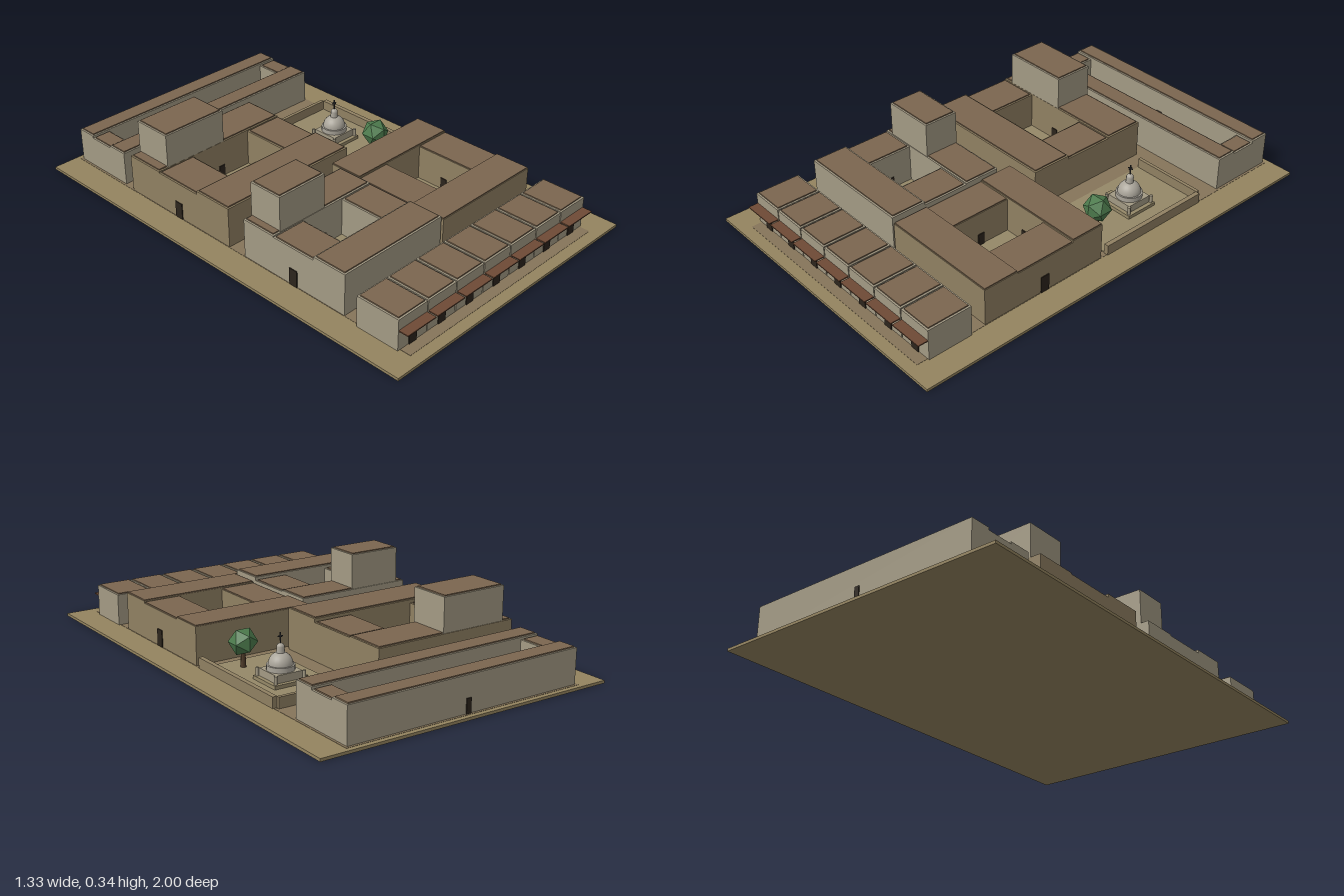
import * as THREE from 'three';

const mat = (color, flatShading = false) => new THREE.MeshStandardMaterial({ color, flatShading });
const M = {
  ground: mat(0x94845f), street: mat(0x86755a), court: mat(0x958868),
  pale: mat(0xa39a84), tan: mat(0x908062), roof: mat(0x7b664f),
  door: mat(0x2c241c), awning: mat(0x6e4a35), stone: mat(0xaaa59a),
  iron: mat(0x3a3a3a), leaf: mat(0x4c7a4c, true), bark: mat(0x4d3a28),
};
const G = 0.013; // ground level

function add(parent, name, geometry, material, x = 0, y = 0, z = 0) {
  const mesh = new THREE.Mesh(geometry, material);
  mesh.name = name;
  mesh.position.set(x, y, z);
  parent.add(mesh);
  return mesh;
}

// Box given by its limits on each axis
function span(parent, name, material, x0, x1, y0, y1, z0, z1) {
  return add(parent, name, new THREE.BoxGeometry(x1 - x0, y1 - y0, z1 - z0), material,
    (x0 + x1) / 2, (y0 + y1) / 2, (z0 + z1) / 2);
}

// Walled block with a slightly inset roof slab; h is the total height
function block(parent, name, wall, x0, x1, z0, z1, h, y0 = G, inset = 0.008) {
  span(parent, name + 'Walls', wall, x0, x1, y0, h - 0.005, z0, z1);
  span(parent, name + 'Roof', M.roof, x0 + inset, x1 - inset, h - 0.005, h, z0 + inset, z1 - inset);
}

// Thin door panel lying on a wall that faces the given axis
function door(parent, axis, x, z, w = 0.04, h = 0.073) {
  const d = 0.008;
  add(parent, 'door', new THREE.BoxGeometry(axis === 'x' ? d : w, h, axis === 'x' ? w : d),
    M.door, x, G + h / 2, z);
}

// Four wings around an open court
function courtHouse(parent, o) {
  const g = new THREE.Group();
  g.name = o.name;
  parent.add(g);
  const [x0, x1, z0, z1] = o.outer, [a, b, c, d] = o.court;
  const [hBack, hSide, hFront] = o.heights;
  block(g, 'backWing', o.wall, x0, x1, z0, c, hBack, G, o.inset);
  block(g, 'frontWing', o.wall, x0, x1, d, z1, hFront, G, o.inset);
  block(g, 'rightWing', o.wall, x0, a, c, d, hSide, G, o.inset);
  block(g, 'leftWing', o.wall, b, x1, c, d, hSide, G, o.inset);
  span(g, 'courtFloor', M.court, a, b, G - 0.002, G + 0.002, c, d);
  const cx = (a + b) / 2, cz = (c + d) / 2;
  for (const x of [a, b]) door(g, 'x', x, cz, 0.03, 0.055);
  for (const z of [c, d]) door(g, 'z', cx, z, 0.03, 0.055);
  if (o.tower) block(g, 'upperRoom', M.pale, ...o.tower, hBack - 0.005);
  return g;
}

function shops(parent) {
  const row = new THREE.Group();
  row.name = 'shopRow';
  parent.add(row);
  const pitch = 0.1595;
  for (let i = 0; i < 7; i++) {
    const x = -0.558 + i * pitch;
    block(row, 'shop', M.pale, x, x + pitch - 0.005, 0.703, 0.902, 0.154);
    door(row, 'z', x + pitch / 2 - 0.003, 0.902);
    span(row, 'awning', M.awning, x + 0.002, x + pitch - 0.007, 0.098, 0.103, 0.9, 0.945);
  }
}

function shrine(parent) {
  const s = new THREE.Group();
  s.name = 'shrine';
  s.position.set(0.365, 0, -0.305);
  parent.add(s);
  span(s, 'base', M.court, -0.077, 0.077, G, 0.03, -0.077, 0.077);
  span(s, 'hall', M.pale, -0.06, 0.06, 0.03, 0.062, -0.06, 0.06);
  for (const x of [-0.065, 0.065]) for (const z of [-0.065, 0.065])
    add(s, 'cornerPost', new THREE.CylinderGeometry(0.007, 0.007, 0.035, 8), M.pale, x, 0.046, z);
  // Steps toward the right-hand side of the yard
  for (let i = 0; i < 2; i++)
    span(s, 'step', M.court, -0.115 + i * 0.018, -0.077, G, G + 0.006 * (i + 1), -0.015, 0.015);
  add(s, 'drum', new THREE.CylinderGeometry(0.056, 0.056, 0.022, 24), M.stone, 0, 0.072, 0);
  add(s, 'dome', new THREE.SphereGeometry(0.049, 24, 10, 0, Math.PI * 2, 0, Math.PI / 2), M.stone, 0, 0.083, 0);
  add(s, 'lantern', new THREE.CylinderGeometry(0.015, 0.017, 0.022, 12), M.stone, 0, 0.14, 0);
  add(s, 'lanternCap', new THREE.SphereGeometry(0.016, 12, 6, 0, Math.PI * 2, 0, Math.PI / 2), M.stone, 0, 0.151, 0);
  span(s, 'finialPost', M.iron, -0.002, 0.002, 0.16, 0.21, -0.002, 0.002);
  span(s, 'finialBar', M.iron, -0.011, 0.011, 0.192, 0.196, -0.002, 0.002);
  span(s, 'finialCrossBar', M.iron, -0.002, 0.002, 0.192, 0.196, -0.009, 0.009);
}

function yard(parent) {
  const g = new THREE.Group();
  g.name = 'yard';
  parent.add(g);
  span(g, 'yardFloor', M.court, 0.2, 0.535, G - 0.002, G + 0.002, -0.54, 0);
  span(g, 'backWall', M.tan, 0.2, 0.532, G, 0.058, -0.55, -0.535);
  span(g, 'sideWall', M.tan, 0.53, 0.55, G, 0.058, -0.535, 0.003);
  shrine(g);
  add(g, 'treeTrunk', new THREE.CylinderGeometry(0.009, 0.012, 0.07, 8), M.bark, 0.398, 0.047, -0.085);
  add(g, 'treeCrown', new THREE.IcosahedronGeometry(0.06, 0), M.leaf, 0.398, 0.12, -0.085);
}

export function createModel() {
  const model = new THREE.Group();
  model.name = 'townBlock';
  span(model, 'ground', M.ground, -0.665, 0.665, 0, G - 0.001, -1, 1);
  span(model, 'street', M.street, -0.545, 0.545, G - 0.002, G, -0.98, 0.95);

  // Long hall at the back
  const hall = courtHouse(model, {
    name: 'backHall', wall: M.pale, outer: [-0.535, 0.535, -0.97, -0.665],
    court: [-0.447, 0.447, -0.88, -0.76], heights: [0.166, 0.156, 0.166],
  });
  door(hall, 'z', 0, -0.97, 0.022, 0.06);

  // House with the larger upper room
  const rear = courtHouse(model, {
    name: 'rearHouse', wall: M.tan, outer: [-0.543, 0.125, -0.605, 0.003],
    court: [-0.36, -0.055, -0.42, -0.185], heights: [0.185, 0.18, 0.195],
    tower: [-0.495, -0.19, -0.602, -0.421, 0.332],
  });
  door(rear, 'x', -0.543, -0.3);

  // Front house on the right
  const right = courtHouse(model, {
    name: 'rightHouse', wall: M.pale, outer: [-0.543, -0.008, 0.093, 0.63],
    court: [-0.383, -0.17, 0.257, 0.47], heights: [0.19, 0.185, 0.2],
    tower: [-0.505, -0.265, 0.097, 0.255, 0.343],
  });
  door(right, 'x', -0.543, 0.365);

  // Front house on the left
  const left = courtHouse(model, {
    name: 'leftHouse', wall: M.tan, outer: [0.003, 0.543, 0.033, 0.632],
    court: [0.165, 0.375, 0.19, 0.47], heights: [0.18, 0.172, 0.18], inset: 0.003,
  });
  door(left, 'x', 0.543, 0.335);

  shops(model);
  yard(model);
  return model;
}
